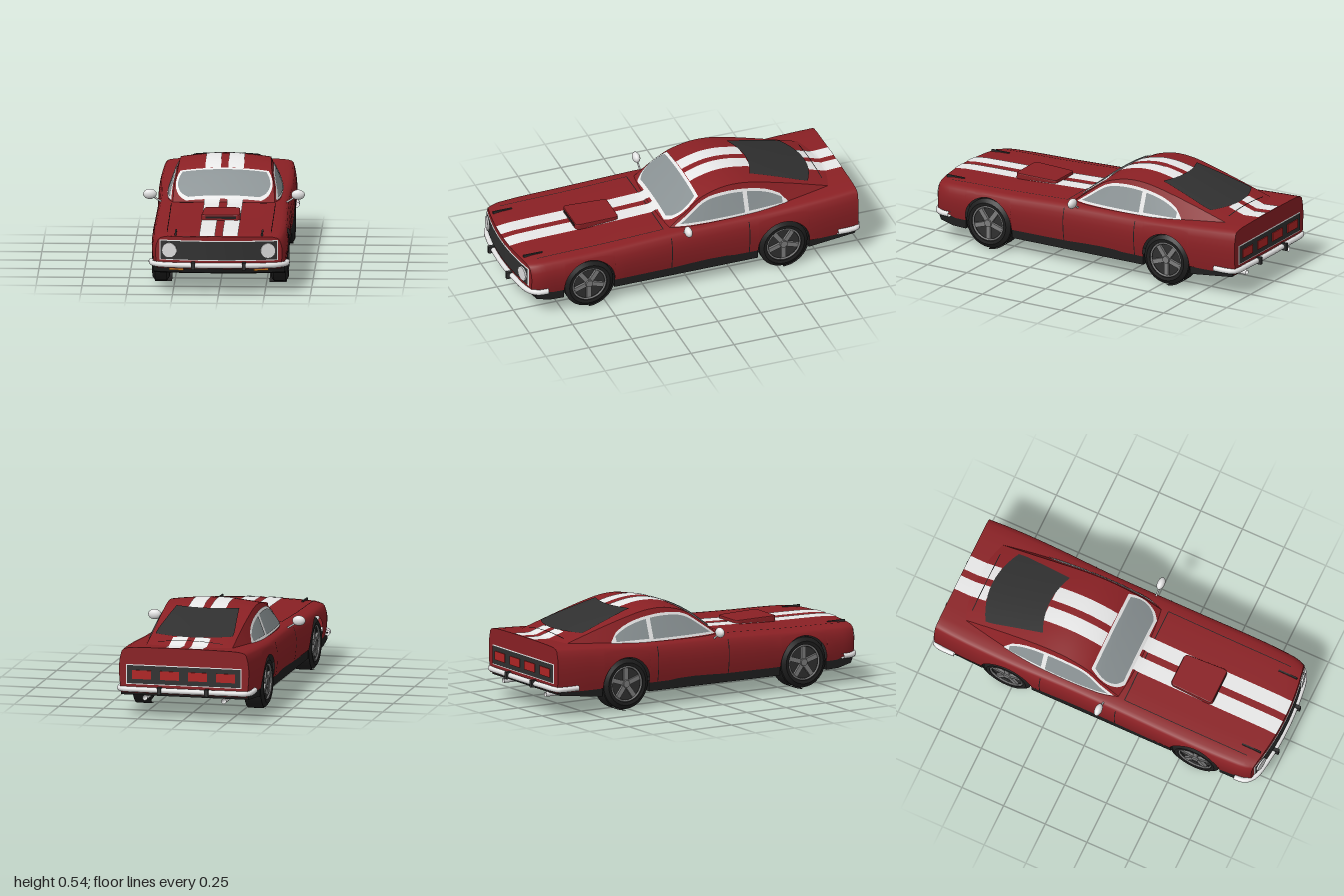
import * as THREE from 'three';
import { toCreasedNormals } from 'three/addons/utils/BufferGeometryUtils.js';

const paint = (name, color) => new THREE.MeshStandardMaterial({ name, color, side: THREE.DoubleSide });
const RED = paint('body red', 0x8a2024), WHITE = paint('stripe white', 0xf0f0f0);
const DARK = paint('charcoal', 0x303030), BLACK = paint('rubber black', 0x1e1e1e);
const GLASS = paint('window glass', 0x8a9294), CHROME = paint('chrome', 0xe4e4e4);
const LAMP = paint('headlight', 0xdcdcdc), AMBER = paint('amber', 0xb8701c);
const TAIL = paint('tail lamp red', 0xb02424), STEEL = paint('wheel grey', 0x7c7c7c);

// Smooth curve through [position, value] points in ascending order
function curve(pts) {
  const slope = i => {
    const a = pts[Math.max(i - 1, 0)], b = pts[Math.min(i + 1, pts.length - 1)];
    return (b[1] - a[1]) / (b[0] - a[0]);
  };
  return p => {
    let i = 0;
    while (i < pts.length - 2 && p > pts[i + 1][0]) i++;
    const [a, b] = [pts[i], pts[i + 1]], h = b[0] - a[0];
    const t = Math.min(1, Math.max(0, (p - a[0]) / h)), t2 = t * t, t3 = t2 * t;
    return a[1] * (2 * t3 - 3 * t2 + 1) + h * slope(i) * (t3 - 2 * t2 + t)
      + b[1] * (3 * t2 - 2 * t3) + h * slope(i + 1) * (t3 - t2);
  };
}
const lerp = THREE.MathUtils.lerp;

// Skin over rows of [x, y, z] points
function skin(rows, crease = 0.6) {
  const n = rows[0].length, idx = [];
  for (let i = 0; i < rows.length - 1; i++) for (let j = 0; j < n - 1; j++) {
    const a = i * n + j;
    idx.push(a, a + 1, a + n, a + 1, a + n + 1, a + n);
  }
  const g = new THREE.BufferGeometry();
  g.setAttribute('position', new THREE.Float32BufferAttribute(rows.flat(2), 3));
  g.setIndex(idx);
  return toCreasedNormals(g, crease);
}
const grid = (fn, nu, nv) => skin(Array.from({ length: nv + 1 }, (_, j) =>
  Array.from({ length: nu + 1 }, (_, i) => fn(i / nu, j / nv))));

// Lower body shape
const deckTop = curve([[-0.965, 0.385], [-0.7, 0.37], [-0.4, 0.352], [0.1, 0.343], [0.5, 0.328], [0.9, 0.319], [0.97, 0.31]]);
const halfWidth = curve([[-0.965, 0.363], [-0.8, 0.373], [-0.53, 0.375], [-0.2, 0.367], [0.1, 0.368], [0.6, 0.373], [0.88, 0.366], [0.94, 0.358], [0.97, 0.345]]);
const AXLES = [0.6, -0.53], HUB = 0.14, ARCH = 0.148;
const bend = (x, z) => z - 0.35 * x * x * THREE.MathUtils.smoothstep(z, 0.7, 0.97);
const sillY = z => AXLES.reduce((y, c) => {
  const d = ARCH * ARCH - (z - c) ** 2;
  return d > 0 ? Math.max(y, HUB + Math.sqrt(d)) : y;
}, 0.13);
function halfSection(z) {
  const T = deckTop(z), w = halfWidth(z), S = T - 0.025, b = sillY(z);
  const pts = [[0, T], [0.1, T - 0.0005], [0.2, T - 0.002], [0.28, T - 0.004], [w - 0.045, T - 0.008], [w - 0.025, T - 0.014]];
  for (let i = 0; i <= 6; i++) {
    const y = lerp(S, b, i / 6), t = (S - y) / (S - 0.13);
    pts.push([w - (t < 0.4 ? 0.015 * (1 - t / 0.4) ** 2 : 0.012 * ((t - 0.4) / 0.6) ** 2), y]);
  }
  return pts;
}
function section(z) {
  const h = halfSection(z);
  return [...h.slice(1).reverse().map(([x, y]) => [-x, y]), ...h].map(([x, y]) => [x, y, bend(x, z)]);
}
const endCap = z => skin(halfSection(z).map(([x, y]) =>
  Array.from({ length: 13 }, (_, i) => { const px = x * (i / 6 - 1); return [px, y, bend(px, z)]; })));

// Cabin shape
const roofTop = curve([[-0.92, 0.365], [-0.85, 0.389], [-0.75, 0.42], [-0.6, 0.465], [-0.45, 0.506], [-0.35, 0.528], [-0.27, 0.535], [-0.2, 0.53], [-0.12, 0.51], [-0.07, 0.488], [0, 0.438], [0.1, 0.36], [0.13, 0.335]]);
const roofHalf = curve([[-0.92, 0.24], [-0.6, 0.24], [-0.27, 0.247], [-0.07, 0.258], [0, 0.27], [0.13, 0.278]]);
const baseHalf = curve([[-0.92, 0.27], [-0.6, 0.31], [-0.27, 0.325], [0, 0.32], [0.13, 0.295]]);
const BASE = 0.3, CROWN = 0.02;
const cabinY = (x, z) => roofTop(z) - CROWN * (x / roofHalf(z)) ** 2;
const cabinX = (y, z) => lerp(baseHalf(z), roofHalf(z), (y - BASE) / (roofTop(z) - CROWN - BASE));
const topY = (x, z) => Math.max(deckTop(z) - 0.05 * x * x, z < 0.13 && z > -0.92 ? cabinY(x, z) : 0);

export function createModel() {
  const car = new THREE.Group();
  car.name = 'fastbackCar';
  const add = (name, geo, mat, x = 0, y = 0, z = 0, parent = car) => {
    const m = new THREE.Mesh(geo, mat);
    m.name = name;
    m.position.set(x, y, z);
    parent.add(m);
    return m;
  };
  const box = (w, h, d) => new THREE.BoxGeometry(w, h, d);
  const sides = fn => [1, -1].forEach(fn);

  // Red shell, with extra stations around the wheel arches
  const stations = [-0.965, -0.94, -0.87, -0.77, -0.3, -0.2, -0.1, 0, 0.1, 0.2, 0.3, 0.39, 0.82, 0.88, 0.91, 0.94, 0.955, 0.97];
  AXLES.forEach(c => { for (let k = 0; k <= 18; k++) stations.push(c + ARCH * Math.cos(k * Math.PI / 18)); });
  stations.sort((a, b) => a - b);
  add('bodyShell', skin(stations.map(section)), RED);
  add('nose', endCap(0.97), RED);
  add('tailPanel', endCap(-0.965), RED);

  // Cabin
  const cabinRows = Array.from({ length: 43 }, (_, i) => {
    const z = -0.92 + i * 0.025, row = [];
    const side = s => [0, 0.5, 1].map(t => {
      const y = lerp(BASE, roofTop(z) - CROWN, t);
      return [s * cabinX(y, z), y, z];
    });
    for (let k = 1; k < 10; k++) { const x = roofHalf(z) * (k / 5 - 1); row.push([x, cabinY(x, z), z]); }
    return [...side(-1), ...row, ...side(1).reverse()];
  });
  add('cabin', skin(cabinRows), RED);

  // Windscreen and its frame
  const screenHalf = curve([[0, 0.205], [0.15, 0.24], [0.45, 0.262], [0.75, 0.258], [1, 0.24]]);
  const screen = (z0, z1, trim, lift) => grid((u, v) => {
    const z = lerp(z0, z1, v), x = (u * 2 - 1) * (screenHalf(v) - trim);
    return [x, cabinY(x, z) + lift, z + lift];
  }, 16, 12);
  add('windscreenFrame', screen(0.105, -0.08, 0, 0.003), WHITE);
  add('windscreen', screen(0.088, -0.066, 0.012, 0.006), GLASS);

  // Rear window
  add('rearWindow', grid((u, v) => {
    const s = u * 2 - 1, x = s * lerp(0.175, 0.215, Math.min(1, v * 1.15));
    const z = lerp(-0.44 + 0.04 * s * s, -0.785 + 0.06 * s * s, v);
    return [x, cabinY(x, z) + 0.006, z];
  }, 12, 12), DARK);

  // Side windows
  const frameTop = curve([[-0.58, 0.365], [-0.55, 0.405], [-0.45, 0.455], [-0.32, 0.483], [-0.2, 0.487], [-0.1, 0.468], [0, 0.402], [0.075, 0.348]]);
  const pane = (s, z0, z1, y0, trim, lift) => grid((u, v) => {
    const z = lerp(z0, z1, u), y = lerp(y0, Math.max(y0, frameTop(z) - trim), v);
    return [s * (cabinX(y, z) + lift), y, z];
  }, 16, 4);
  sides(s => {
    add('sideWindowFrame', pane(s, -0.58, 0.075, 0.345, 0, 0.004), WHITE);
    add('doorGlass', pane(s, -0.325, 0.045, 0.358, 0.014, 0.007), GLASS);
    add('quarterGlass', pane(s, -0.55, -0.35, 0.362, 0.014, 0.007), GLASS);
  });

  // Twin stripes and thin panel gaps draped on the top
  const drape = (x0, x1, z0, z1, lift = 0.003) => grid((u, v) => {
    const x = lerp(x0, x1, u), z = lerp(z0, z1, v);
    return [x, topY(x, z) + lift, bend(x, z)];
  }, 6, 24);
  sides(s => {
    for (const [a, b] of [[0.97, 0.105], [-0.08, -0.435], [-0.775, -0.965]])
      add('stripe', drape(s * 0.02, s * 0.105, a, b), WHITE);
    add('bonnetGap', drape(s * 0.281, s * 0.285, 0.14, 0.9, 0.002), BLACK);
    add('bonnetPin', box(0.009, 0.014, 0.11), DARK, s * 0.235, 0.316, 0.88);
    for (const z of [0.12, -0.33]) add('doorGap', grid((u, v) => {
      const [x, y] = halfSection(z)[6 + Math.round(v * 6)];
      return [s * (x + 0.002), y, z + (u - 0.5) * 0.005];
    }, 1, 6), BLACK);
  });
  add('bonnetRearGap', drape(-0.283, 0.283, 0.138, 0.143, 0.002), BLACK);
  add('bootGap', drape(-0.18, 0.18, -0.818, -0.823, 0.004), BLACK);

  // Bonnet scoop
  const plan = new THREE.Shape();
  plan.moveTo(-0.085, -0.12).lineTo(0.085, -0.12).quadraticCurveTo(0.1, -0.12, 0.1, -0.1).lineTo(0.092, 0.1)
    .quadraticCurveTo(0.09, 0.12, 0.075, 0.12).lineTo(-0.075, 0.12).quadraticCurveTo(-0.09, 0.12, -0.092, 0.1)
    .lineTo(-0.1, -0.1).quadraticCurveTo(-0.1, -0.12, -0.085, -0.12);
  const scoop = new THREE.ExtrudeGeometry(plan, { depth: 0.025, bevelSize: 0.006, bevelThickness: 0.006, bevelSegments: 2 });
  add('bonnetScoop', scoop.rotateX(-Math.PI / 2), RED, 0, 0.326, 0.455).rotation.x = -0.02;
  add('scoopMouth', box(0.165, 0.012, 0.006), BLACK, 0, 0.343, 0.58);

  // Grille, headlights and rear lamp panel
  const panel = (w, y0, y1, z) => grid((u, v) => {
    const x = (u * 2 - 1) * w;
    return [x, lerp(y0, y1, v), bend(x, Math.min(z, 0.97)) + Math.max(0, z - 0.97)];
  }, 16, 1);
  add('grilleFrame', panel(0.322, 0.176, 0.287, 0.973), CHROME);
  add('grille', panel(0.317, 0.181, 0.282, 0.977), DARK);
  add('tailFrame', panel(0.322, 0.178, 0.288, -0.968), CHROME);
  add('tailLampPanel', panel(0.317, 0.183, 0.283, -0.971), DARK);
  sides(s => {
    const lamp = add('headlight', new THREE.CylinderGeometry(0.041, 0.041, 0.02, 28), LAMP, s * 0.268, 0.231, 0.95);
    lamp.rotation.set(Math.PI / 2, 0, -s * 0.17);
    for (const x of [0.078, 0.235]) add('tailLamp', box(0.105, 0.048, 0.006), TAIL, s * x, 0.233, -0.973);
    add('indicator', box(0.08, 0.012, 0.02), AMBER, s * 0.23, 0.125, 0.936).rotation.y = s * 0.16;
  });

  // Bumpers, overriders and exhausts
  const bumper = (name, half) => {
    const pts = [...half.map(([x, z]) => [-x, z]), ...half.slice(0, -1).reverse()];
    const path = new THREE.CatmullRomCurve3(pts.map(([x, z]) => new THREE.Vector3(x, 0, z)));
    add(name, new THREE.TubeGeometry(path, 48, 0.015, 10), CHROME, 0, 0.15, 0);
  };
  bumper('frontBumper', [[0.37, 0.84], [0.362, 0.9], [0.32, 0.94], [0.18, 0.967], [0, 0.977]]);
  bumper('rearBumper', [[0.368, -0.84], [0.368, -0.92], [0.355, -0.96], [0.2, -0.973], [0, -0.977]]);
  sides(s => {
    add('frontOverrider', box(0.02, 0.04, 0.035), DARK, s * 0.138, 0.15, 0.9825);
    add('rearOverrider', box(0.02, 0.04, 0.03), DARK, s * 0.132, 0.15, -0.985);
    const pipe = new THREE.CylinderGeometry(0.014, 0.014, 0.17, 14, 1, true).rotateX(Math.PI / 2);
    add('exhaust', pipe, CHROME, s * 0.22, 0.103, -0.875);
  });

  // Black underbody in three lengths, plus an inner floor between the wheels
  const under = outline => {
    const shape = new THREE.Shape(outline.map(([z, y]) => new THREE.Vector2(-z, y)));
    const g = new THREE.ExtrudeGeometry(shape, { depth: 0.712, steps: 12, bevelEnabled: false });
    g.translate(0, 0, -0.356).rotateY(Math.PI / 2);
    const p = g.attributes.position;
    for (let i = 0; i < p.count; i++) p.setZ(i, bend(p.getX(i), p.getZ(i)));
    g.computeVertexNormals();
    add('underbody', g, BLACK);
  };
  under([[0.748, 0.14], [0.748, 0.082], [0.85, 0.085], [0.945, 0.105], [0.96, 0.14]]);
  under([[-0.382, 0.14], [-0.382, 0.082], [0.452, 0.082], [0.452, 0.14]]);
  under([[-0.955, 0.145], [-0.945, 0.115], [-0.678, 0.085], [-0.678, 0.145]]);
  add('floor', box(0.53, 0.19, 1.48), BLACK, 0, 0.178, 0.035);

  // Wheels and arch liners
  const tyre = toCreasedNormals(new THREE.LatheGeometry([[0.092, -0.047], [0.118, -0.047], [0.14, -0.032],
    [0.14, 0.032], [0.118, 0.047], [0.1, 0.044], [0.096, 0.02]].map(p => new THREE.Vector2(...p)), 32), 0.4);
  for (const z of AXLES) sides(s => {
    const wheel = new THREE.Group();
    wheel.name = 'wheel';
    wheel.position.set(s * 0.323, HUB, z);
    wheel.rotation.z = -s * Math.PI / 2;
    car.add(wheel);
    add('tyre', tyre, BLACK, 0, 0, 0, wheel);
    add('wheelBack', new THREE.CylinderGeometry(0.098, 0.098, 0.07, 28), DARK, 0, -0.012, 0, wheel);
    add('rim', new THREE.TorusGeometry(0.094, 0.006, 6, 32).rotateX(Math.PI / 2), STEEL, 0, 0.038, 0, wheel);
    add('hub', new THREE.CylinderGeometry(0.02, 0.026, 0.022, 16), STEEL, 0, 0.033, 0, wheel);
    for (let k = 0; k < 5; k++) {
      const a = k * Math.PI * 0.4;
      add('spoke', box(0.08, 0.014, 0.026), STEEL, 0.053 * Math.cos(a), 0.03, -0.053 * Math.sin(a), wheel).rotation.y = a;
    }
    const liner = new THREE.CylinderGeometry(0.147, 0.147, 0.094, 24, 1, true, Math.PI / 2, Math.PI);
    add('archLiner', liner.rotateZ(Math.PI / 2).rotateX(0), BLACK, s * 0.312, HUB, z);
    liner.computeBoundingBox();
    if (liner.boundingBox.max.y < 0.1) liner.rotateX(Math.PI);
  });

  // Door mirrors
  sides(s => {
    add('mirror', new THREE.SphereGeometry(1, 16, 10), CHROME, s * 0.403, 0.371, 0.04).scale.set(0.037, 0.028, 0.021);
    add('mirrorArm', new THREE.CylinderGeometry(0.005, 0.005, 0.07, 8), CHROME, s * 0.368, 0.346, 0.04).rotation.z = -s * 1.0;
  });
  return car;
}
